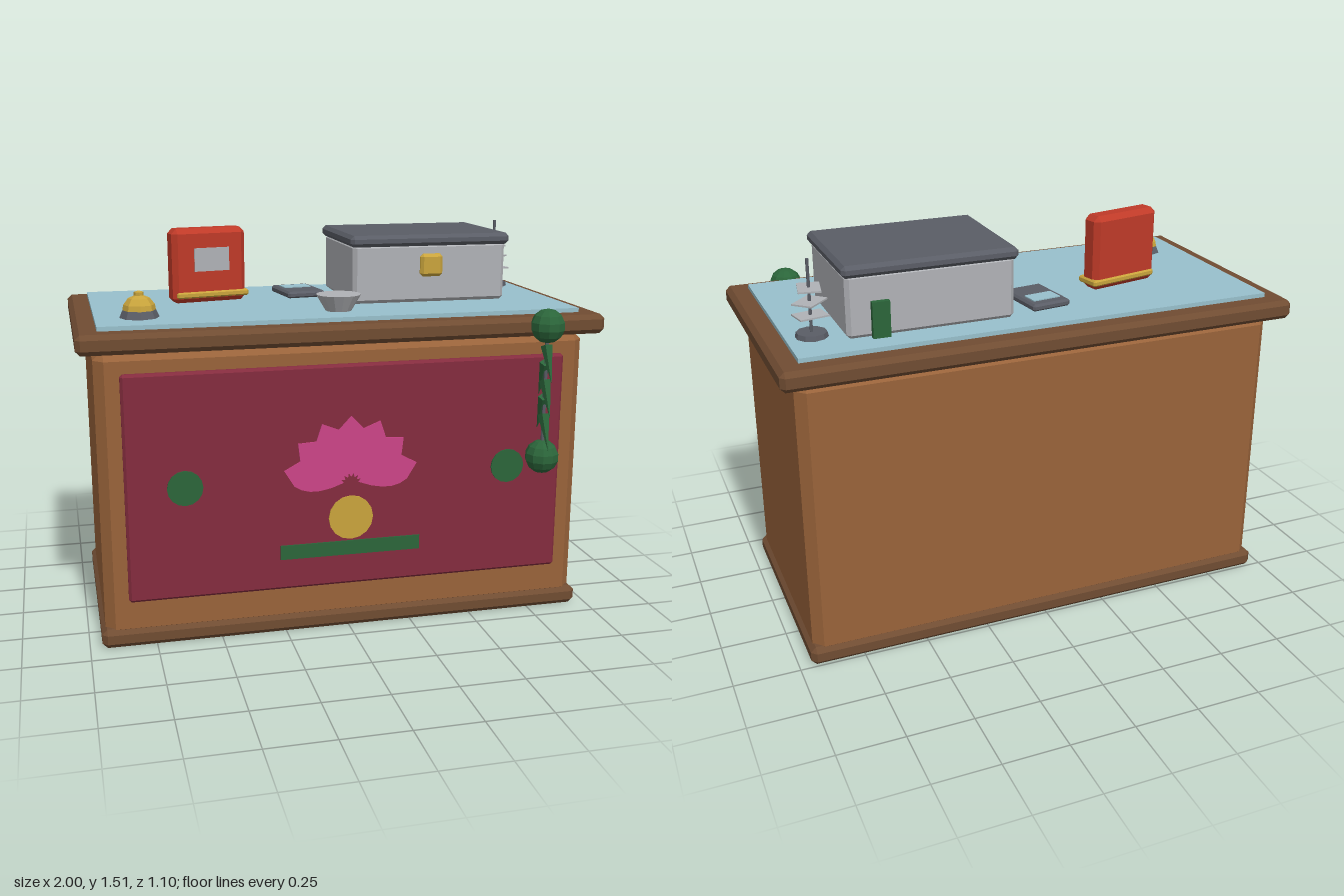
import * as THREE from 'three';
import { ConvexGeometry } from 'three/addons/geometries/ConvexGeometry.js';

const mat = (name, color) => {
  const m = new THREE.MeshStandardMaterial({ color, flatShading: true });
  m.name = name;
  return m;
};

export function createModel() {
  const wood = mat('wood', 0x99633a);
  const darkWood = mat('dark wood', 0x704c32);
  const maroon = mat('maroon cloth', 0x842c3e);
  const pink = mat('pink', 0xcc4488);
  const gold = mat('gold', 0xc9a43c);
  const green = mat('green', 0x2b653a);
  const blue = mat('pale blue', 0x98c0cc);
  const grey = mat('dark grey', 0x5a5d66);
  const silver = mat('silver', 0xb0b2b6);
  const red = mat('red', 0xbf3a28);

  const root = new THREE.Group();
  root.name = 'counter';

  const add = (name, geo, m, x = 0, y = 0, z = 0, parent = root) => {
    const mesh = new THREE.Mesh(geo, m);
    mesh.name = name;
    mesh.position.set(x, y, z);
    parent.add(mesh);
    return mesh;
  };
  const group = (name, x, y, z, turn = 0) => {
    const g = new THREE.Group();
    g.name = name;
    g.position.set(x, y, z);
    g.rotation.y = turn;
    root.add(g);
    return g;
  };
  // box with every edge cut at 45 degrees
  const chamferBox = (w, h, d, c) => {
    const pts = [];
    for (const i of [-1, 1]) for (const j of [-1, 1]) for (const k of [-1, 1]) {
      const [a, b, e] = [i * w / 2, j * h / 2, k * d / 2];
      pts.push(
        new THREE.Vector3(a, b - j * c, e - k * c),
        new THREE.Vector3(a - i * c, b, e - k * c),
        new THREE.Vector3(a - i * c, b - j * c, e));
    }
    return new ConvexGeometry(pts);
  };
  const box = (w, h, d) => new THREE.BoxGeometry(w, h, d);
  const cyl = (top, bottom, h, n) => new THREE.CylinderGeometry(top, bottom, h, n);
  const disc = (r, n) => cyl(r, r, 0.008, n).rotateX(Math.PI / 2);

  // counter carcass
  add('body', chamferBox(1.88, 1.1, 0.9, 0.037), wood, 0, 0.585, -0.04);
  add('plinth', chamferBox(1.91, 0.075, 0.93, 0.02), darkWood, 0, 0.0375, -0.04);
  add('worktop', chamferBox(2, 0.075, 1.02, 0.018), darkWood, 0, 1.168, -0.042);
  add('mat', box(1.84, 0.018, 0.865), blue, 0, 1.213, -0.042);

  // front cloth with its lotus design
  add('frontCloth', chamferBox(1.7, 0.87, 0.03, 0.01), maroon, 0, 0.617, 0.416);
  const face = 0.433;
  const petal = new THREE.Shape();
  petal.moveTo(0, 0.03);
  petal.quadraticCurveTo(-0.085, 0.14, -0.05, 0.215);
  petal.lineTo(0, 0.268);
  petal.lineTo(0.05, 0.215);
  petal.quadraticCurveTo(0.085, 0.14, 0, 0.03);
  const petalGeo = new THREE.ExtrudeGeometry(petal, { depth: 0.006, bevelEnabled: false, curveSegments: 5 });
  for (let i = -3; i <= 3; i++) {
    add('lotusPetal', petalGeo, pink, 0, 0.587, face - 0.003).rotation.z = i * 0.436;
  }
  add('lotusHeart', disc(0.087, 16), gold, 0, 0.455, face);
  add('lotusStem', box(0.55, 0.056, 0.008), green, 0, 0.333, face);
  for (const s of [-1, 1]) add('leafDisc', disc(0.067, 16), green, s * 0.63, 0.617, face);

  // hanging garland
  const garland = group('garland', 0.75, 0, 0.488);
  for (const y of [1.175, 0.663]) add('garlandBall', new THREE.SphereGeometry(0.066, 10, 7), green, 0, y, 0, garland);
  add('garlandCord', cyl(0.007, 0.007, 0.5, 6), grey, 0, 0.92, 0, garland);
  for (let i = 0; i < 5; i++) {
    const s = i % 2 ? -1 : 1;
    const leaf = add('garlandLeaf', new THREE.ConeGeometry(0.024, 0.15, 5).rotateX(Math.PI),
      green, 0, 1.03 - i * 0.067, s * 0.03, garland);
    leaf.rotation.x = -s * 0.4;
  }

  // service bell
  const bell = group('bell', -0.755, 1.22, 0.215);
  add('bellBase', cyl(0.062, 0.075, 0.03, 8), grey, 0, 0.015, 0, bell);
  const dome = [[0.062, 0.028], [0.058, 0.05], [0.04, 0.074], [0.018, 0.084], [0.018, 0.096], [0, 0.102]]
    .map(([x, y]) => new THREE.Vector2(x, y));
  add('bellDome', new THREE.LatheGeometry(dome, 8), gold, 0, 0, 0, bell);

  // red pouch
  const pouch = group('pouch', -0.455, 1.22, -0.135, 0.21);
  add('pouchBody', chamferBox(0.305, 0.295, 0.09, 0.02), red, 0, 0.147, 0, pouch);
  add('pouchBand', chamferBox(0.3, 0.025, 0.104, 0.006), gold, 0.01, 0.033, 0, pouch);
  add('pouchLabel', box(0.145, 0.092, 0.008), silver, 0.006, 0.172, 0.046, pouch);

  // handheld device
  const device = group('device', -0.063, 1.22, -0.222, 0.13);
  add('deviceBody', chamferBox(0.16, 0.028, 0.225, 0.008), grey, 0, 0.014, 0, device);
  add('deviceScreen', box(0.115, 0.006, 0.07), blue, 0, 0.029, -0.038, device);

  // bowl
  add('bowl', cyl(0.087, 0.05, 0.063, 14), silver, 0, 1.253, 0.228);

  // cash box
  add('boxBody', chamferBox(0.63, 0.235, 0.48, 0.015), silver, 0.405, 1.338, -0.13);
  add('boxLid', chamferBox(0.655, 0.045, 0.51, 0.014), grey, 0.405, 1.468, -0.13);
  add('boxLatch', chamferBox(0.092, 0.09, 0.03, 0.012), gold, 0.405, 1.371, 0.121);
  add('boxBackTab', box(0.065, 0.135, 0.022), green, 0.6, 1.288, -0.38);

  // spindle holding loose slips
  const spindle = group('spindle', 0.825, 1.22, -0.28);
  add('spindleBase', cyl(0.055, 0.06, 0.02, 10), grey, 0, 0.01, 0, spindle);
  add('spindlePin', cyl(0.006, 0.006, 0.28, 6), grey, 0, 0.145, 0, spindle);
  for (let i = 0; i < 3; i++) {
    add('slip', box(0.11, 0.006, 0.08), silver, 0, 0.08 + i * 0.05, 0, spindle).rotation.y = 0.2 + i * 0.6;
  }
  return root;
}
